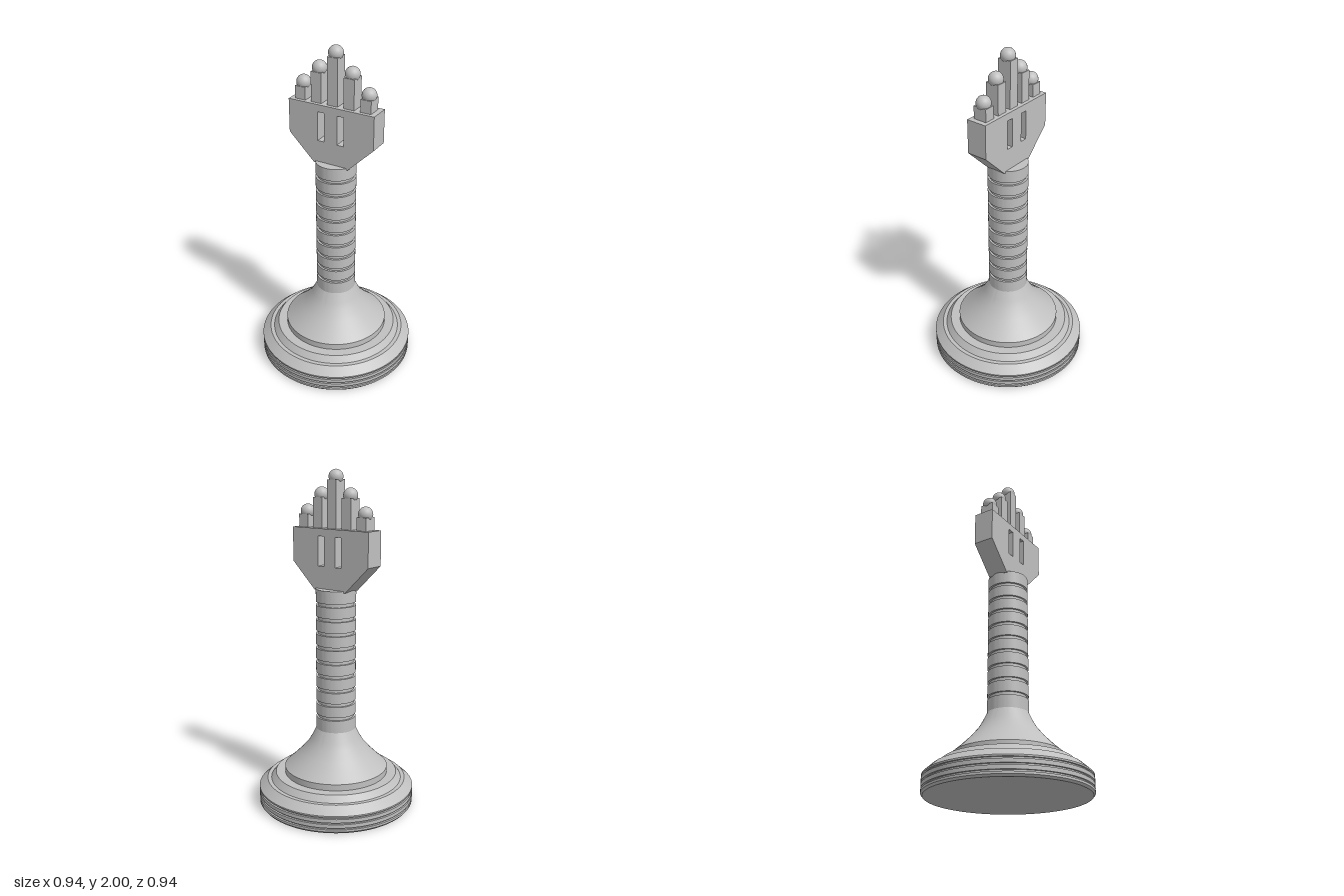
import * as THREE from 'three';
import { toCreasedNormals } from 'three/addons/utils/BufferGeometryUtils.js';

const V = (x, y) => new THREE.Vector2(x, y);

export function createModel() {
  const model = new THREE.Group();
  const grey = new THREE.MeshStandardMaterial({ color: 0xc0c0c0 });
  grey.name = 'grey';

  const add = (name, geometry, x = 0, y = 0, z = 0) => {
    const mesh = new THREE.Mesh(geometry, grey);
    mesh.name = name;
    mesh.position.set(x, y, z);
    model.add(mesh);
  };
  const turned = (points) => toCreasedNormals(new THREE.LatheGeometry(points, 96), 0.4);

  // Walks up a wall of radius r, cutting a square groove at each centre height
  const grooves = (r, depth, width, centres) => centres.flatMap((y) => [
    V(r, y - width / 2), V(r - depth, y - width / 2),
    V(r - depth, y + width / 2), V(r, y + width / 2),
  ]);

  // Stepped base with a grooved rim
  add('base', turned([
    V(0, 0), V(0.46, 0), V(0.47, 0.012),
    ...grooves(0.47, 0.012, 0.01, [0.03, 0.062, 0.094]),
    V(0.47, 0.108), V(0.42, 0.153), V(0.397, 0.153),
    V(0.368, 0.19), V(0, 0.19),
  ]));

  // Flared foot of the column
  add('flare', turned([
    V(0.312, 0.19), V(0.312, 0.228), V(0.27, 0.265), V(0.215, 0.32),
    V(0.168, 0.375), V(0.145, 0.415), V(0.118, 0.47), V(0, 0.47),
  ]));

  // Column with nine evenly spaced grooves
  const rings = Array.from({ length: 9 }, (_, i) => 0.555 + i * 0.0853);
  add('column', turned([
    V(0, 0.47), V(0.118, 0.47),
    ...grooves(0.118, 0.012, 0.02, rings),
    V(0.118, 1.322), V(0, 1.322),
  ]));

  // Flat palm with a tapered wrist and two slots
  const palm = new THREE.Shape([
    V(-0.11, 1.312), V(0.11, 1.312), V(0.268, 1.468),
    V(0.268, 1.668), V(-0.268, 1.668), V(-0.268, 1.468),
  ]);
  for (const x of [-0.0615, 0.0615]) {
    palm.holes.push(new THREE.Path([
      V(x - 0.021, 1.452), V(x - 0.021, 1.625), V(x + 0.021, 1.625), V(x + 0.021, 1.452),
    ]));
  }
  const palmDepth = 0.124;
  add('palm', new THREE.ExtrudeGeometry(palm, { depth: palmDepth, bevelEnabled: false }),
    0, 0, -palmDepth / 2);

  // Five square fingers with ball tips, tallest in the middle
  for (let i = -2; i <= 2; i++) {
    const x = i * 0.1025;
    const ballY = 1.958 - Math.abs(i) * 0.1;
    const top = ballY - 0.016, bottom = 1.66;
    add('finger', new THREE.BoxGeometry(0.065, top - bottom, 0.082), x, (top + bottom) / 2);
    add('fingertip', new THREE.SphereGeometry(0.042, 32, 20), x, ballY);
  }
  return model;
}
